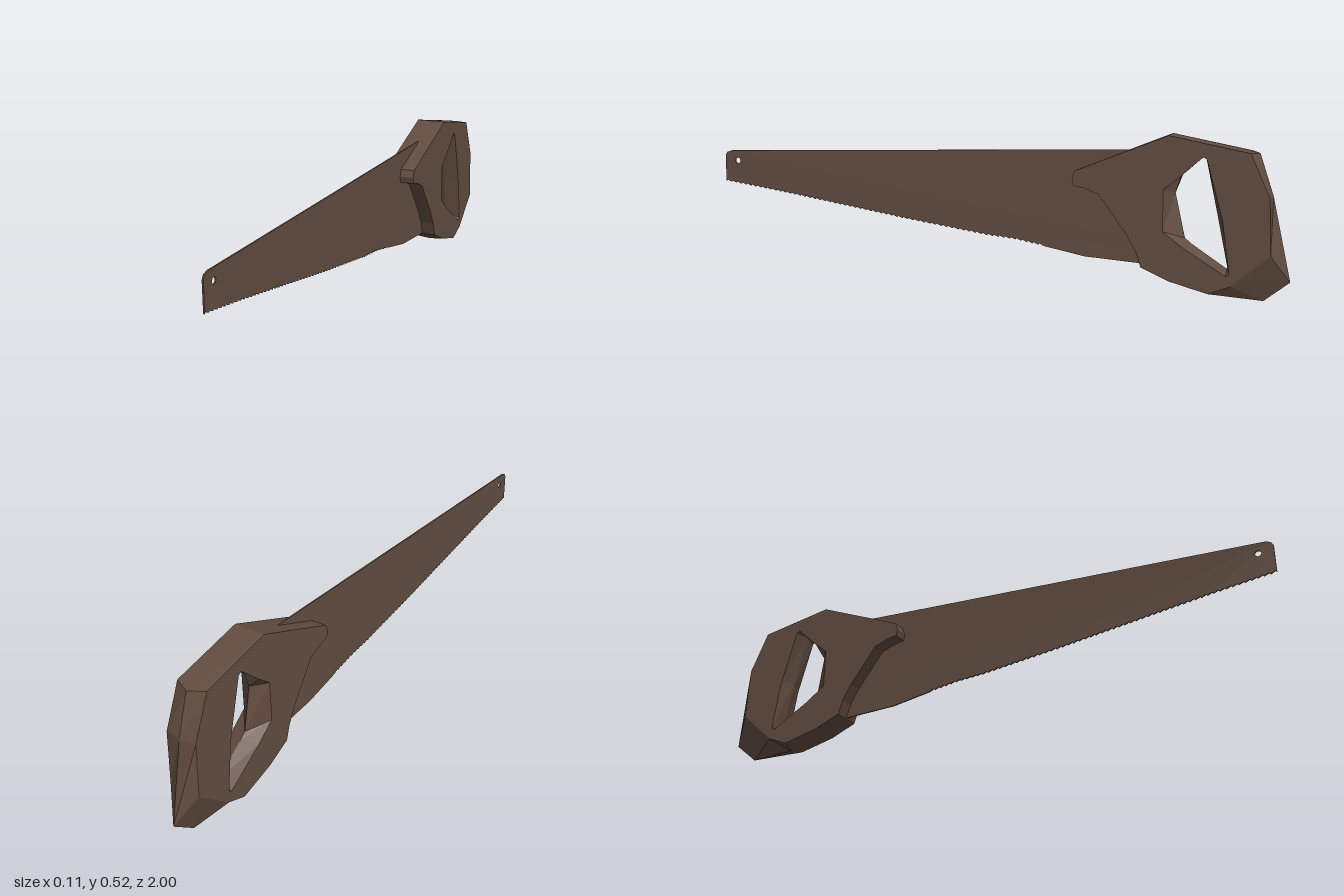
import * as THREE from 'three';

const HALF = 0.053; // half the handle's thickness
const BLADE = 0.005; // blade thickness

// Profiles use u (towards the back, -z) and v (up); this stands them up in the yz plane.
function extrudeSideways(shape, depth, steps) {
  const geo = new THREE.ExtrudeGeometry(shape, { depth, steps, bevelEnabled: false });
  return geo.translate(0, 0, -depth / 2);
}

const toPath = (pts, Type) => new Type(pts.map(([u, v]) => new THREE.Vector2(u, v)));

// Blade with a toothed lower edge and a hanging hole at the tip
function bladeGeometry() {
  const lower = [[-1, 0.312], [-0.8, 0.284], [-0.29, 0.204], [0, 0.163], [0.1, 0.154],
    [0.2, 0.137], [0.34, 0.11], [0.53, 0.098]];
  const pts = [];
  for (let i = 0; i < lower.length - 1; i++) {
    const [u0, v0] = lower[i], [u1, v1] = lower[i + 1];
    const toothed = u0 < 0.2;
    const n = toothed ? Math.round((u1 - u0) / 0.02) : 1;
    for (let k = 0; k < n; k++) {
      const t = k / n, u = u0 + (u1 - u0) * t, v = v0 + (v1 - v0) * t;
      pts.push([u, v]);
      if (toothed) pts.push([u + 0.004, v + 0.005]);
    }
  }
  pts.push([0.53, 0.098], [0.57, 0.16], [0.57, 0.42], [0.49, 0.47],
    [-0.975, 0.424], [-0.993, 0.418], [-1, 0.405]);
  const shape = toPath(pts, THREE.Shape);
  const hole = new THREE.Path();
  hole.absarc(-0.95, 0.388, 0.01, 0, Math.PI * 2, true);
  shape.holes.push(hole);
  return extrudeSideways(shape, BLADE, 1);
}

// Handle: each point is [u, v] on the side faces, then optionally [u, v] on the middle ridge
const outer = [
  [0.305, 0.375], [0.31, 0.352], [0.345, 0.345], [0.395, 0.325], [0.487, 0.2], [0.518, 0.145],
  [0.535, 0.095], [0.625, 0.055, 0.625, 0.05], [0.75, 0.022, 0.76, 0.012],
  [0.82, 0.05, 0.92, 0.0], [0.94, 0.155, 1.0, 0.065], [0.932, 0.335, 0.94, 0.335],
  [0.87, 0.473, 0.895, 0.47], [0.615, 0.522], [0.315, 0.4],
];
const grip = [
  [0.725, 0.457], [0.65, 0.388], [0.603, 0.35, 0.635, 0.335], [0.603, 0.215, 0.668, 0.19],
  [0.67, 0.165, 0.69, 0.172], [0.805, 0.082, 0.803, 0.097], [0.815, 0.09, 0.805, 0.1],
  [0.79, 0.26, 0.768, 0.275], [0.737, 0.45, 0.728, 0.454],
];

function handleGeometry() {
  const shape = toPath(outer, THREE.Shape);
  shape.holes.push(toPath(grip, THREE.Path));
  const geo = extrudeSideways(shape, HALF * 2, 2);
  // Shift the middle ring to form the ridge
  const key = (u, v) => u.toFixed(3) + ',' + v.toFixed(3);
  const ridge = new Map([...outer, ...grip].filter(p => p.length === 4).map(p => [key(p[0], p[1]), p]));
  const pos = geo.attributes.position;
  for (let i = 0; i < pos.count; i++) {
    if (Math.abs(pos.getZ(i)) > 0.01) continue;
    const p = ridge.get(key(pos.getX(i), pos.getY(i)));
    if (p) pos.setXY(i, p[2], p[3]);
  }
  geo.computeVertexNormals();
  return geo;
}

export function createModel() {
  const brown = new THREE.MeshStandardMaterial({ color: 0x614c40, flatShading: true });
  brown.name = 'dark brown';
  const group = new THREE.Group();
  group.name = 'handSaw';
  const parts = { blade: bladeGeometry(), handle: handleGeometry() };
  for (const [name, geo] of Object.entries(parts)) {
    const mesh = new THREE.Mesh(geo.rotateY(Math.PI / 2), brown);
    mesh.name = name;
    group.add(mesh);
  }
  return group;
}
